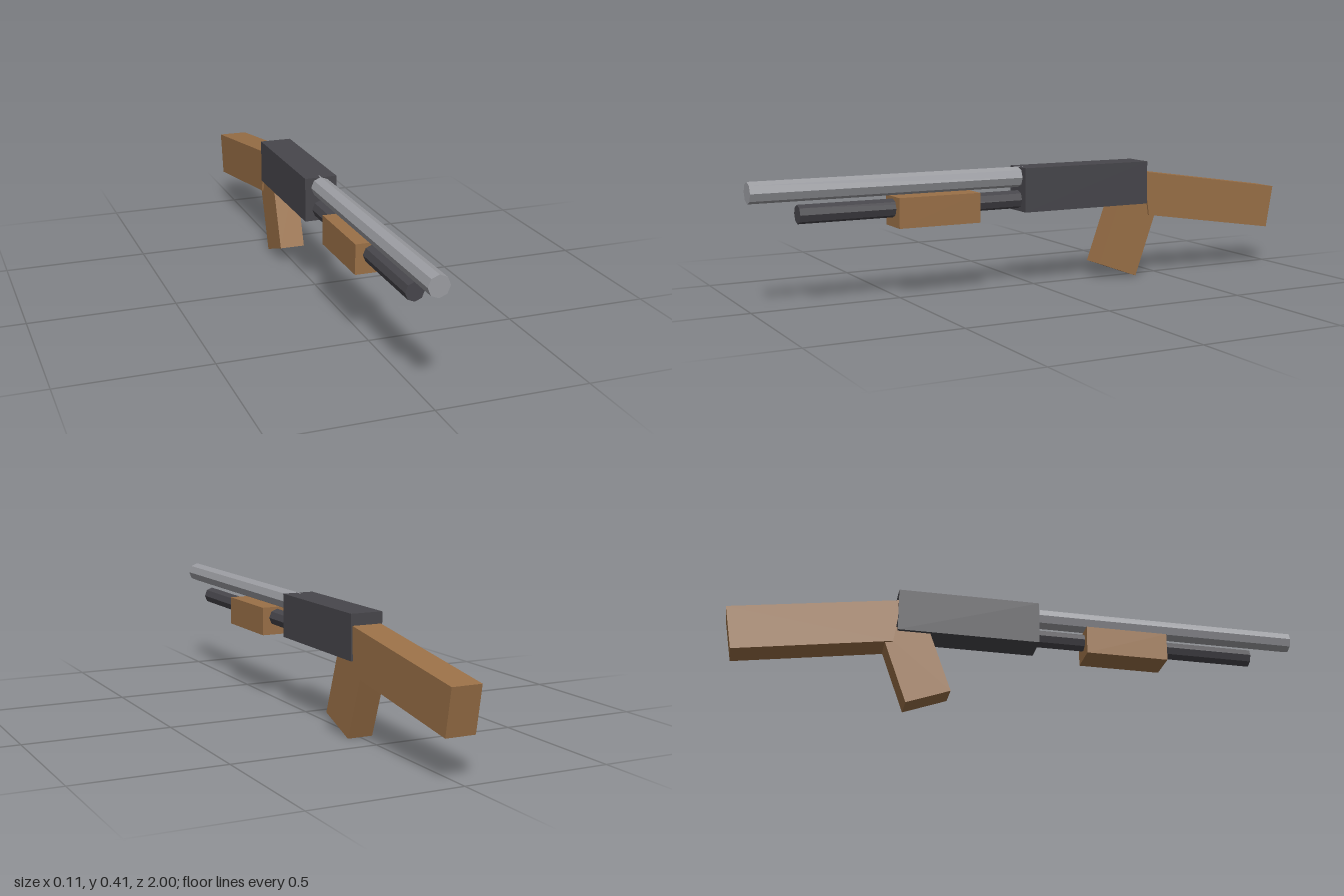
import * as THREE from 'three';

const makeMaterial = (name, color) => {
  const m = new THREE.MeshStandardMaterial({ color, flatShading: true });
  m.name = name;
  return m;
};

export function createModel() {
  const group = new THREE.Group();
  const wood = makeMaterial('wood', 0x9a7047);
  const darkMetal = makeMaterial('dark metal', 0x47464b);
  const steel = makeMaterial('steel', 0x9c9da2);

  const add = (name, geometry, material) => {
    const mesh = new THREE.Mesh(geometry, material);
    mesh.name = name;
    group.add(mesh);
    return mesh;
  };

  // Box given by its width and its y and z limits
  const block = (name, material, width, y0, y1, z0, z1) =>
    add(name, new THREE.BoxGeometry(width, y1 - y0, z1 - z0), material)
      .position.set(0, (y0 + y1) / 2, (z0 + z1) / 2);

  // Eight-sided rod lying along z
  const rod = (name, material, radius, y, z0, z1) => {
    const geometry = new THREE.CylinderGeometry(radius, radius, z1 - z0, 8);
    geometry.rotateX(Math.PI / 2);
    add(name, geometry, material).position.set(0, y, (z0 + z1) / 2);
  };

  // Side profile of [z, y] points, extruded across x
  const slab = (name, material, width, points) => {
    const shape = new THREE.Shape(points.map(([z, y]) => new THREE.Vector2(-z, y)));
    const geometry = new THREE.ExtrudeGeometry(shape, { depth: width, bevelEnabled: false });
    geometry.translate(0, 0, -width / 2);
    geometry.rotateY(Math.PI / 2);
    add(name, geometry, material);
  };

  block('receiver', darkMetal, 0.112, 0.26, 0.411, -0.43, 0.06);
  block('pumpHandle', wood, 0.112, 0.238, 0.338, 0.23, 0.52);

  rod('barrel', steel, 0.035, 0.377, 0.04, 1);
  rod('magazineTube', darkMetal, 0.031, 0.3, 0.04, 0.842);

  // Stock slopes down to the back, grip leans forward
  slab('stock', wood, 0.102, [[-0.443, 0.217], [-0.973, 0.137], [-1, 0.289], [-0.42, 0.374]]);
  slab('grip', wood, 0.089, [[-0.243, 0.055], [-0.393, 0], [-0.485, 0.254], [-0.335, 0.309]]);

  return group;
}
